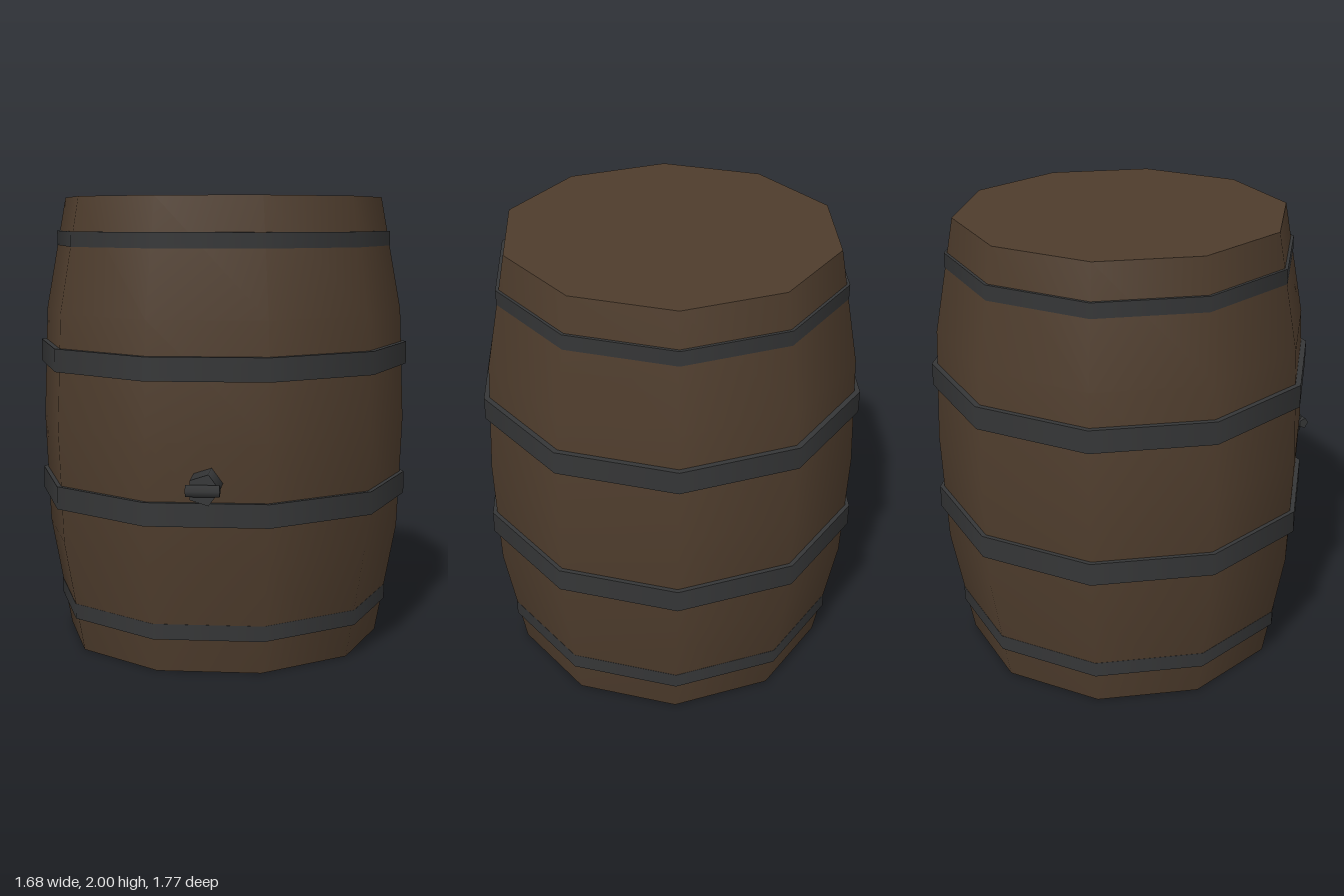
import * as THREE from 'three';

const SIDES = 10;
const START = Math.PI / 2; // puts a corner on +x and -x

export function createModel() {
  const wood = new THREE.MeshStandardMaterial({ color: 0x4f3d2d });
  wood.name = 'darkWood';
  const iron = new THREE.MeshStandardMaterial({ color: 0x353637 });
  iron.name = 'darkIron';

  const model = new THREE.Group();
  model.name = 'barrel';
  const cask = new THREE.Group();
  cask.name = 'cask';
  cask.position.z = -0.085;
  model.add(cask);

  const add = (parent, name, geometry, material, x = 0, y = 0, z = 0) => {
    const mesh = new THREE.Mesh(geometry, material);
    mesh.name = name;
    mesh.position.set(x, y, z);
    parent.add(mesh);
    return mesh;
  };

  // Bulging staves
  const profile = [[0.718, 0], [0.81, 0.5], [0.83, 1], [0.81, 1.5], [0.718, 2]]
    .map(([r, y]) => new THREE.Vector2(r, y));
  add(cask, 'staves', new THREE.LatheGeometry(profile, SIDES, START), wood);

  // Flat heads closing both ends
  const head = new THREE.CircleGeometry(0.718, SIDES);
  add(cask, 'topHead', head, wood, 0, 2).rotation.x = -Math.PI / 2;
  add(cask, 'bottomHead', head, wood).rotation.x = Math.PI / 2;

  // Hoops: centre height, height, radius
  const hoops = [[0.183, 0.067, 0.759], [0.703, 0.1, 0.84], [1.303, 0.1, 0.84], [1.818, 0.065, 0.759]];
  hoops.forEach(([y, h, r], i) => {
    add(cask, `hoop${i + 1}`, new THREE.CylinderGeometry(r, r, h, SIDES, 1, false, START), iron, 0, y);
  });

  // Five-sided tap with a small cross handle
  const tap = new THREE.Group();
  tap.name = 'tap';
  tap.position.y = 0.835;
  model.add(tap);
  const spout = new THREE.CylinderGeometry(0.067, 0.067, 0.2, 5, 1, false, START);
  add(tap, 'spout', spout, iron, 0, 0, 0.75).rotation.x = Math.PI / 2;
  const handle = new THREE.CylinderGeometry(0.026, 0.026, 0.138, 5);
  add(tap, 'handle', handle, iron, -0.002, 0, 0.857).rotation.z = Math.PI / 2;

  return model;
}
